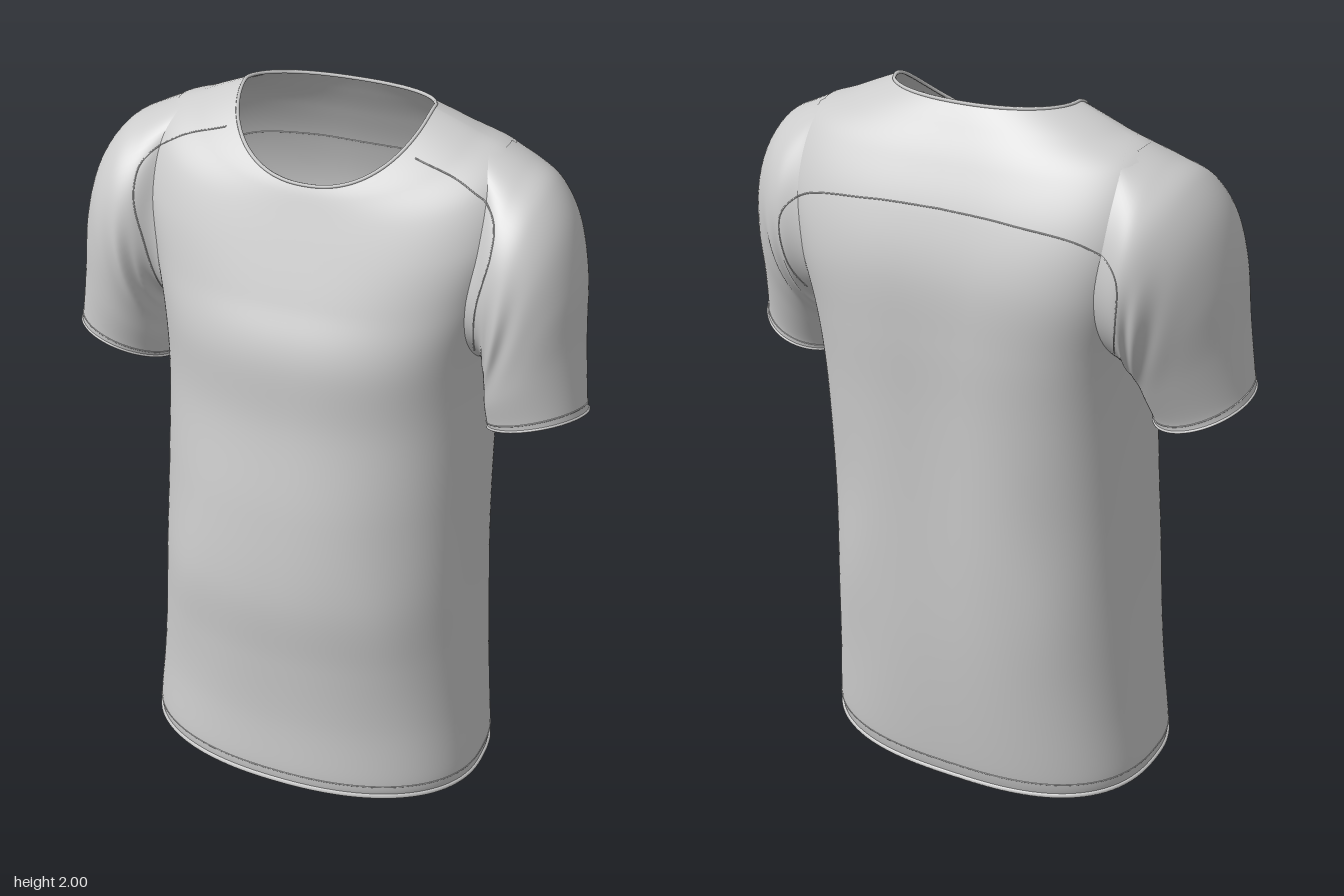
import * as THREE from 'three';

const material = new THREE.MeshStandardMaterial({ color: 0xcccccc, roughness: 0.9, side: THREE.DoubleSide });

// Body sections: half width, front z, back z, side z, then y at front, side, back
const BODY = [
  [0.499, 0.372, -0.308, 0.03, 0.06, 0.033, 0.008],
  [0.502, 0.376, -0.322, 0.03, 0.11, 0.085, 0.07],
  [0.485, 0.368, -0.342, 0.02, 0.28, 0.27, 0.25],
  [0.470, 0.374, -0.360, 0.01, 0.48, 0.48, 0.47],
  [0.458, 0.386, -0.372, 0.0, 0.70, 0.70, 0.70],
  [0.451, 0.362, -0.381, -0.02, 0.95, 0.95, 0.95],
  [0.449, 0.320, -0.389, -0.04, 1.20, 1.20, 1.20],
  [0.456, 0.308, -0.396, -0.06, 1.40, 1.40, 1.40],
  [0.485, 0.257, -0.392, -0.07, 1.54, 1.57, 1.58],
  [0.515, 0.210, -0.352, -0.08, 1.66, 1.76, 1.73],
  [0.485, 0.176, -0.295, -0.085, 1.745, 1.892, 1.85],
  [0.375, 0.154, -0.243, -0.08, 1.80, 1.945, 1.935],
  [0.260, 0.142, -0.209, -0.075, 1.825, 1.993, 1.985],
];

// Armhole on the body: middle and half height along the sections, angle to the front and back
const ARMHOLE = { mid: 0.725, half: 0.16, front: 0.58, back: 0.72 };

// Sleeve sections after the armhole: outer x, y, inner x, y, front z, back z, forward tilt
const SLEEVE = [
  [0.515, 1.885, 0.457, 1.335, 0.155, -0.325, 0],
  [0.59, 1.843, 0.455, 1.31, 0.172, -0.308, 0.005],
  [0.652, 1.755, 0.455, 1.29, 0.174, -0.275, 0.01],
  [0.69, 1.62, 0.457, 1.265, 0.167, -0.235, 0.015],
  [0.707, 1.45, 0.46, 1.23, 0.157, -0.19, 0.022],
  [0.726, 1.30, 0.468, 1.19, 0.142, -0.147, 0.03],
  [0.733, 1.255, 0.472, 1.17, 0.138, -0.14, 0.03],
];

// Smooth blend through a list of number rows, u from 0 to 1
function blend(list, u) {
  const f = u * (list.length - 1);
  const i = Math.min(Math.floor(f), list.length - 2);
  const t = f - i;
  const at = (k) => list[Math.max(0, Math.min(list.length - 1, k))];
  return list[i].map((b, k) => {
    const a = at(i - 1)[k], c = at(i + 1)[k], d = at(i + 2)[k];
    return b + 0.5 * t * (c - a + t * (2 * a - 5 * b + 4 * c - d + t * (3 * (b - c) + d - a)));
  });
}

const power = (v, p) => Math.sign(v) * Math.abs(v) ** p;
const bump = (v, centre, width) => Math.exp(-(((v - centre) / width) ** 2));

function bodyPoint(u, angle) {
  const [w, zf, zb, zc, yf, ys, yb] = blend(BODY, u);
  const c = Math.cos(angle), s = Math.sin(angle);
  // chest is squarer than the waist, and the neck is rounder
  const chest = bump(u, 0.7, 0.16);
  const e = s > 0 ? 0.9 - 0.18 * chest : 0.76 - 0.21 * chest + 0.2 * bump(u, 1, 0.12);
  const x = w * power(c, e);
  const y = ys + ((s > 0 ? yf : yb) - ys) * Math.abs(s) ** 1.25;
  let z = zc + ((s > 0 ? zf : zb) - zc) * Math.abs(s) ** e;
  // shallow hollow along the spine and soft diagonal drape near the waist
  if (s < 0) z += 0.02 * bump(x, 0, 0.14) * bump(y, 1.2, 0.6);
  z += 0.007 * Math.sin(9 * y + 8 * Math.abs(x)) * bump(Math.abs(x), 0.34, 0.1) * bump(y, 0.7, 0.4) * s;
  return new THREE.Vector3(x, y, z);
}

function insideArmhole(u, angle) {
  const s = Math.sin(angle);
  const around = Math.asin(Math.abs(s)) / (s > 0 ? ARMHOLE.front : ARMHOLE.back);
  return Math.hypot((u - ARMHOLE.mid) / ARMHOLE.half, around) < 0.85;
}

// Each line along the sleeve starts on the armhole and runs through the sections to the cuff
function sleevePoint(u, angle, dir) {
  const c = Math.cos(angle), s = -Math.sin(angle) * dir;
  const turn = s * (s > 0 ? ARMHOLE.front : ARMHOLE.back);
  const start = bodyPoint(ARMHOLE.mid + ARMHOLE.half * c, dir > 0 ? turn : Math.PI - turn);
  const k = (1 + c) / 2;
  const line = SLEEVE.map(([ox, oy, ix, iy, zf, zb, tilt]) => [
    dir * (ix + (ox - ix) * k),
    iy + (oy - iy) * k + tilt * s,
    (zf + zb) / 2 + ((zf - zb) / 2) * s,
  ]);
  const point = new THREE.Vector3(...blend([start.toArray(), ...line], u));
  // gathered folds around the armpit
  point.z += 0.008 * s * Math.sin(24 * u + 5 * c) * bump(c, -0.3, 0.5) * bump(u, 0.35, 0.17);
  return point;
}

// Skin of closed loops, left open where the cut test holds
function skin(name, point, rows, cols, cut = () => false) {
  const pos = [], index = [];
  for (let i = 0; i <= rows; i++) {
    for (let j = 0; j < cols; j++) {
      pos.push(...point(i / rows, (j / cols) * Math.PI * 2).toArray());
      if (i === rows || cut((i + 0.5) / rows, ((j + 0.5) / cols) * Math.PI * 2)) continue;
      const a = i * cols + j, b = i * cols + ((j + 1) % cols);
      index.push(a, a + cols, b, b, a + cols, b + cols);
    }
  }
  const geometry = new THREE.BufferGeometry();
  geometry.setAttribute('position', new THREE.Float32BufferAttribute(pos, 3));
  geometry.setIndex(index);
  geometry.computeVertexNormals();
  const mesh = new THREE.Mesh(geometry, material);
  mesh.name = name;
  return mesh;
}

function cord(name, points, radius, closed) {
  const curve = new THREE.CatmullRomCurve3(points, closed);
  const mesh = new THREE.Mesh(new THREE.TubeGeometry(curve, points.length * 2, radius, 6, closed), material);
  mesh.name = name;
  return mesh;
}

// Rolled edge or stitch line that follows one loop of a skin
function loopCord(name, point, u, radius) {
  const points = Array.from({ length: 64 }, (_, j) => point(u, (j / 64) * Math.PI * 2));
  return cord(name, points, radius, true);
}

// Raised seam laid on the cloth, from a flat path seen along z
function seam(name, path, facing, cloth) {
  const flat = new THREE.CatmullRomCurve3(path.map(([x, y]) => new THREE.Vector3(x, y, 0)));
  const ray = new THREE.Raycaster();
  const points = [];
  for (const p of flat.getSpacedPoints(40)) {
    ray.set(new THREE.Vector3(p.x, p.y, 2 * facing), new THREE.Vector3(0, 0, -facing));
    const hit = ray.intersectObjects(cloth)[0];
    if (hit) points.push(hit.point);
  }
  return cord(name, points, 0.002, false);
}

export function createModel() {
  const shirt = new THREE.Group();
  shirt.name = 'shirt';

  // Body with hem and collar edges
  const body = skin('body', bodyPoint, 108, 144, insideArmhole);
  shirt.add(
    body,
    loopCord('hemEdge', bodyPoint, 0, 0.008),
    loopCord('hemStitch', bodyPoint, 0.07, 0.002),
    loopCord('collarEdge', bodyPoint, 1, 0.005),
  );

  // Sleeves with cuffs
  const cloth = [body];
  for (const [side, dir] of [['left', 1], ['right', -1]]) {
    const point = (u, angle) => sleevePoint(u, angle, dir);
    const sleeve = skin(side + 'Sleeve', point, 56, 80);
    cloth.push(sleeve);
    shirt.add(
      sleeve,
      loopCord(side + 'CuffEdge', point, 1, 0.004),
      loopCord(side + 'CuffStitch', point, 0.9, 0.002),
    );
  }

  // Front shoulder and armhole seams, and the seam across the back
  shirt.updateMatrixWorld(true);
  for (const [side, dir] of [['left', 1], ['right', -1]]) {
    const mirror = (path) => path.map(([x, y]) => [x * dir, y]);
    shirt.add(
      seam(side + 'FrontSeam', mirror([[0.26, 1.905], [0.4, 1.855], [0.485, 1.79], [0.495, 1.72], [0.465, 1.57], [0.448, 1.42]]), 1, cloth),
      seam(side + 'BackSeam', mirror([[0, 1.75], [0.2, 1.745], [0.4, 1.715], [0.48, 1.65], [0.48, 1.52], [0.455, 1.42]]), -1, cloth),
    );
  }
  return shirt;
}
